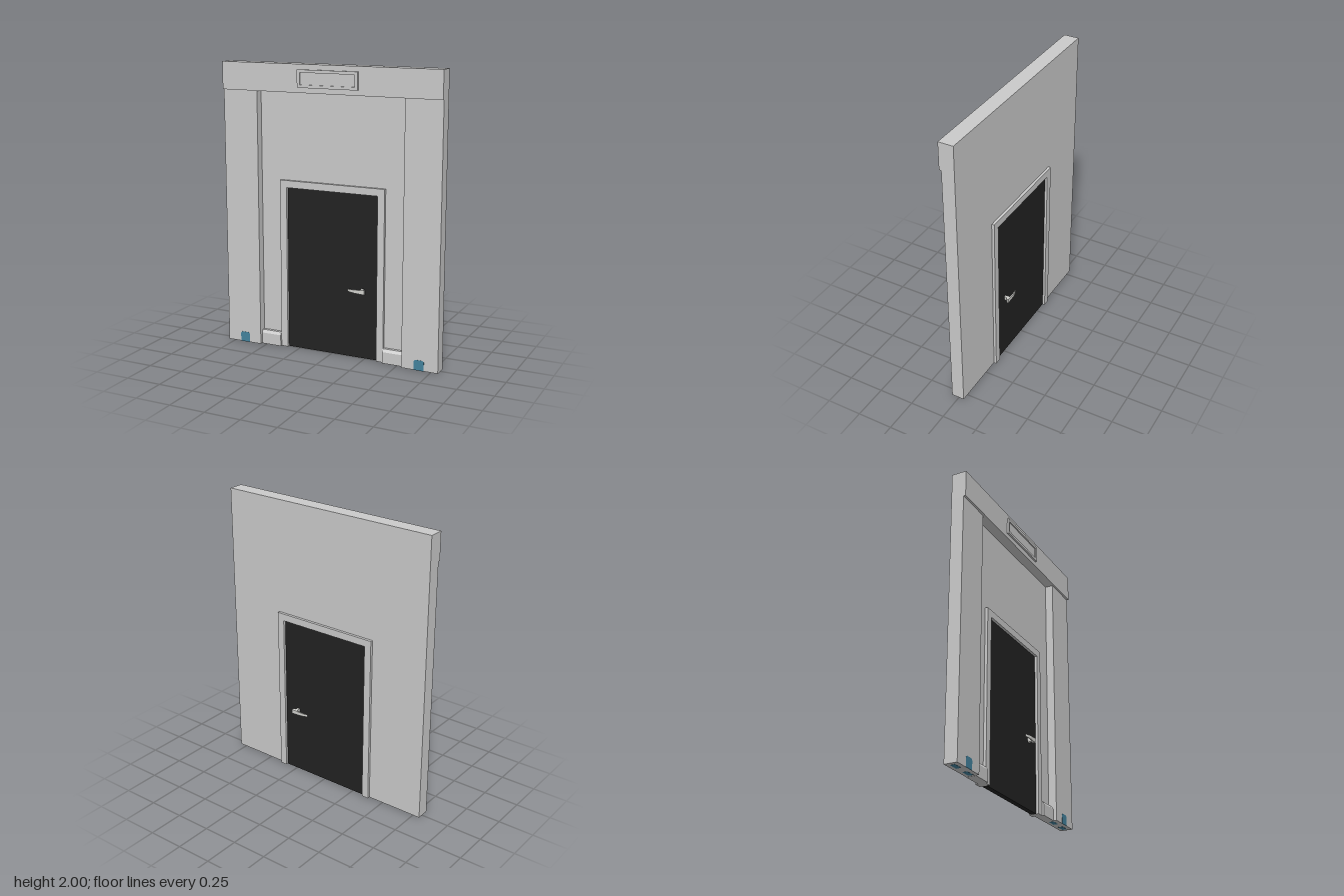
import * as THREE from 'three';

export function createModel() {
  const model = new THREE.Group();
  const material = (name, color) => {
    const m = new THREE.MeshStandardMaterial({ color });
    m.name = name;
    return m;
  };
  const plaster = material('light grey plaster', 0xcacaca);
  const doorBlack = material('door black', 0x222222);
  const metal = material('pale metal', 0xd2d2ce);
  const teal = material('teal', 0x43829d);

  const BACK = -0.038, WALL = -0.005, PILASTER = 0.052, HEADER = 0.067;

  const add = (name, geometry, mat) => {
    const mesh = new THREE.Mesh(geometry, mat);
    mesh.name = name;
    model.add(mesh);
    return mesh;
  };
  // box given by its limits on each axis
  const box = (name, x0, x1, y0, y1, z0, z1, mat) => {
    const g = new THREE.BoxGeometry(x1 - x0, y1 - y0, z1 - z0);
    g.translate((x0 + x1) / 2, (y0 + y1) / 2, (z0 + z1) / 2);
    return add(name, g, mat);
  };
  const shapeOf = (points) => new THREE.Shape(points.map(([x, y]) => new THREE.Vector2(x, y)));
  const extrude = (shape, z0, z1) =>
    new THREE.ExtrudeGeometry(shape, { depth: z1 - z0, bevelEnabled: false }).translate(0, 0, z0);
  // upside-down U around the doorway
  const arch = (outX, outY, inX, inY) => shapeOf([
    [-outX, 0], [-inX, 0], [-inX, inY], [inX, inY], [inX, 0], [outX, 0], [outX, outY], [-outX, outY],
  ].reverse());

  // recessed wall, header beam and door frame
  add('wall', extrude(arch(0.54, 1.81, 0.39, 1.2), BACK, WALL), plaster);
  box('header', -0.8, 0.8, 1.81, 2, BACK, HEADER, plaster);
  add('doorFrame', extrude(arch(0.39, 1.2, 0.34, 1.15), -0.057, 0.015), plaster);

  // door leaf
  box('door', -0.34, 0.34, 0, 1.15, -0.04, -0.004, doorBlack);

  // sign panel with a raised rim
  const rim = shapeOf([[-0.22, 1.845], [0.22, 1.845], [0.22, 1.965], [-0.22, 1.965]]);
  rim.holes.push(new THREE.Path([
    [-0.2, 1.865], [-0.2, 1.945], [0.2, 1.945], [0.2, 1.865],
  ].map(([x, y]) => new THREE.Vector2(x, y))));
  add('signRim', extrude(rim, HEADER, 0.08), plaster);
  box('signPanel', -0.2, 0.2, 1.865, 1.945, HEADER, 0.071, plaster);

  // pilasters, skirting and teal markers on each side
  for (const side of [-1, 1]) {
    const span = (a, b) => (side > 0 ? [a, b] : [-b, -a]);
    box('pilaster', ...span(0.54, 0.8), 0.001, 1.81, BACK, PILASTER, plaster);

    const skirting = extrude(shapeOf([[0, 0], [0.035, 0], [0.035, 0.08], [0.022, 0.1], [0, 0.1]]), 0, 0.15);
    skirting.rotateY(-Math.PI / 2);
    skirting.translate(span(0.39, 0.54)[1], 0, WALL);
    add('skirting', skirting, plaster);

    const marker = extrude(shapeOf([
      [-0.036, 0.001], [0.036, 0.001], [0.036, 0.063], [0.026, 0.073], [-0.026, 0.073], [-0.036, 0.063],
    ]), PILASTER, PILASTER + 0.002);
    marker.translate(side * 0.665, 0, 0);
    add('frontMarker', marker, teal);

    for (const offset of [-0.072, 0.072]) {
      const x = side * 0.665 + offset;
      box('baseMarker', x - 0.036, x + 0.036, 0, 0.003, -0.012, 0.022, teal);
    }
  }

  // lever handles: plan outline (x, distance from door), slimmer towards the tip
  const lever = [
    [0.222, 0], [0.238, 0], [0.244, 0.02], [0.258, 0.03], [0.258, 0.042],
    [0.185, 0.042], [0.15, 0.037], [0.13, 0.028], [0.15, 0.03], [0.185, 0.034], [0.222, 0.032],
  ];
  for (const [name, face, dir] of [['frontHandle', -0.004, 1], ['backHandle', -0.04, -1]]) {
    const outline = lever.map(([x, d]) => [x, -(face + dir * d)]);
    const g = extrude(shapeOf(outline), -0.015, 0.015);
    g.rotateX(-Math.PI / 2);
    const p = g.attributes.position;
    for (let i = 0; i < p.count; i++) {
      const t = THREE.MathUtils.clamp((p.getX(i) - 0.13) / 0.128, 0, 1);
      p.setY(i, p.getY(i) * (0.55 + 0.5 * t) + 0.482);
    }
    g.computeVertexNormals();
    add(name, g, metal);
  }
  return model;
}
